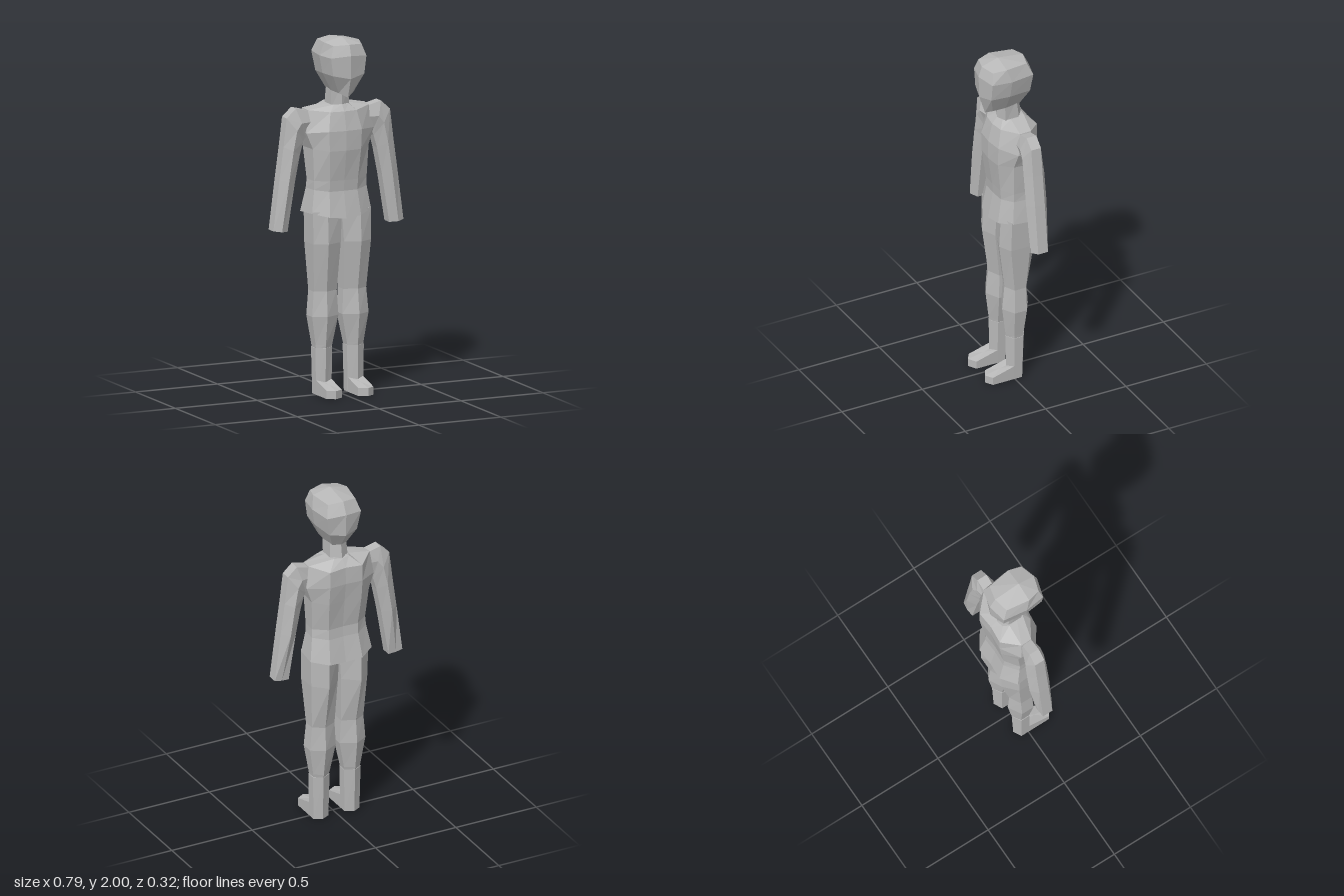
import * as THREE from 'three';

const grey = new THREE.MeshStandardMaterial({ color: 0xb8b8b8, flatShading: true });
grey.name = 'plain grey';

// Skin a stack of equal rings (bottom to top, counterclockwise from above), capped at both ends.
function loft(name, rings, topPoint) {
  const pos = [];
  const tri = (...pts) => pts.forEach((p) => pos.push(...p));
  const n = rings[0].length;
  const middle = (ring) => [0, 1, 2].map((k) => ring.reduce((sum, p) => sum + p[k], 0) / n);
  const bottom = middle(rings[0]);
  const top = topPoint || middle(rings.at(-1));
  for (let j = 0; j < n; j++) {
    const k = (j + 1) % n;
    for (let i = 0; i + 1 < rings.length; i++) {
      const [lo, hi] = [rings[i], rings[i + 1]];
      tri(lo[j], lo[k], hi[k]);
      tri(lo[j], hi[k], hi[j]);
    }
    tri(bottom, rings[0][k], rings[0][j]);
    tri(top, rings.at(-1)[j], rings.at(-1)[k]);
  }
  const geometry = new THREE.BufferGeometry();
  geometry.setAttribute('position', new THREE.Float32BufferAttribute(pos, 3));
  geometry.computeVertexNormals();
  const mesh = new THREE.Mesh(geometry, grey);
  mesh.name = name;
  return mesh;
}

// Complete a half ring (front centre to back centre, on +x) with its mirror image.
const whole = (half) => [...half, ...half.slice(1, -1).reverse().map(([x, y, z]) => [-x, y, z])];

// Mirror limb rings to the other side, keeping their winding.
const mirror = (rings) => rings.map((r) => r.map(([x, y, z]) => [-x, y, z]).reverse());

// Six-sided limb section: ridges front and back, flat faces inside and out.
const limb = ([xo, yo, xm, ym, xi, yi, front, sideF, sideB, back]) => [
  [xm, ym, front], [xo, yo, sideF], [xo, yo, sideB],
  [xm, ym, back], [xi, yi, sideB], [xi, yi, sideF],
];

// Level limb section
const level = ([y, xo, xm, xi, ...z]) => limb([xo, y, xm, y, xi, y, ...z]);

export function createModel() {
  const model = new THREE.Group();
  model.name = 'figure';

  // Head, narrowing to the chin
  model.add(loft('head', [
    [[0, 1.67, 0.11], [0.045, 1.695, 0.085], [0.055, 1.70, 0.01], [0.045, 1.70, -0.08], [0, 1.70, -0.10]],
    [[0, 1.78, 0.145], [0.095, 1.80, 0.12], [0.107, 1.80, 0.01], [0.085, 1.79, -0.125], [0, 1.78, -0.155]],
    [[0, 1.91, 0.15], [0.108, 1.90, 0.12], [0.124, 1.90, 0.005], [0.105, 1.90, -0.135], [0, 1.91, -0.16]],
    [[0, 1.97, 0.13], [0.085, 1.965, 0.105], [0.105, 1.975, 0.03], [0.085, 1.97, -0.105], [0, 1.98, -0.125]],
  ].map(whole), [0, 2, 0.03]));

  // Neck, leaning slightly forward
  model.add(loft('neck', [
    [[0, 1.60, 0.035], [0.055, 1.60, 0.01], [0.055, 1.60, -0.075], [0, 1.60, -0.115]],
    [[0, 1.73, 0.035], [0.055, 1.73, 0.015], [0.05, 1.73, -0.06], [0, 1.73, -0.095]],
  ].map(whole)));

  // Torso, from the flared hem to the collar
  model.add(loft('torso', [
    [[0, 0.99, 0.09], [0.095, 1.00, 0.08], [0.18, 1.02, 0.03], [0.19, 1.015, -0.10], [0.10, 1.00, -0.162], [0, 0.995, -0.155]],
    [[0, 1.14, 0.06], [0.085, 1.14, 0.055], [0.16, 1.15, 0.015], [0.168, 1.15, -0.075], [0.09, 1.14, -0.13], [0, 1.14, -0.125]],
    [[0, 1.20, 0.065], [0.085, 1.20, 0.06], [0.16, 1.20, 0.015], [0.165, 1.20, -0.07], [0.09, 1.20, -0.125], [0, 1.20, -0.12]],
    [[0, 1.37, 0.09], [0.095, 1.37, 0.08], [0.17, 1.38, 0.02], [0.178, 1.38, -0.09], [0.10, 1.37, -0.15], [0, 1.37, -0.14]],
    [[0, 1.48, 0.09], [0.10, 1.48, 0.08], [0.205, 1.47, 0.01], [0.208, 1.47, -0.09], [0.10, 1.48, -0.162], [0, 1.48, -0.155]],
    [[0, 1.585, 0.065], [0.08, 1.585, 0.055], [0.185, 1.595, -0.01], [0.19, 1.60, -0.075], [0.10, 1.575, -0.16], [0, 1.58, -0.152]],
    [[0, 1.62, 0.035], [0.045, 1.62, 0.025], [0.06, 1.62, -0.02], [0.06, 1.62, -0.07], [0.045, 1.625, -0.105], [0, 1.62, -0.115]],
  ].map(whole)));

  // Arm sections: outer x,y, middle x,y, inner x,y, then four depths
  const arm = [
    [0.397, 0.935, 0.355, 0.93, 0.31, 0.925, 0.015, -0.01, -0.07, -0.075],
    [0.36, 1.22, 0.315, 1.21, 0.265, 1.20, 0.022, -0.01, -0.07, -0.105],
    [0.335, 1.40, 0.288, 1.38, 0.235, 1.35, 0.022, -0.01, -0.07, -0.105],
    [0.315, 1.56, 0.265, 1.49, 0.215, 1.42, 0.02, -0.01, -0.07, -0.10],
    [0.26, 1.61, 0.235, 1.53, 0.205, 1.44, 0.018, -0.01, -0.07, -0.09],
    [0.18, 1.59, 0.18, 1.53, 0.18, 1.46, 0.01, -0.01, -0.07, -0.08],
  ].map(limb);

  // Leg sections: height, outer x, middle x, inner x, then four depths
  const leg = [
    [0.25, 0.143, 0.098, 0.05, 0.03, 0.005, -0.045, -0.075],
    [0.28, 0.147, 0.098, 0.044, 0.035, 0.005, -0.05, -0.082],
    [0.44, 0.172, 0.097, 0.012, 0.055, 0.015, -0.06, -0.105],
    [0.58, 0.16, 0.095, 0.02, 0.04, 0.01, -0.06, -0.095],
    [0.85, 0.175, 0.10, 0.01, 0.075, 0.04, -0.08, -0.15],
    [1.03, 0.178, 0.10, 0, 0.065, 0.035, -0.08, -0.15],
  ].map(level);

  // Boot shaft
  const boot = [
    [0, 0.143, 0.098, 0.05, 0.03, 0.005, -0.045, -0.07],
    [0.262, 0.148, 0.098, 0.045, 0.035, 0.005, -0.05, -0.08],
  ].map(level);

  // Foot, sloping down to a blunt toe
  const foot = [[0, 0], [0.045, 0.083]].map(([toe, heel]) => [
    [0.098, toe, 0.163], [0.143, toe, 0.136], [0.143, heel, 0],
    [0.098, heel, -0.03], [0.05, heel, 0], [0.05, toe, 0.136],
  ]);

  const limbs = { Arm: arm, Leg: leg, Boot: boot, Foot: foot };
  for (const [part, rings] of Object.entries(limbs)) {
    model.add(loft('left' + part, rings));
    model.add(loft('right' + part, mirror(rings)));
  }
  return model;
}
